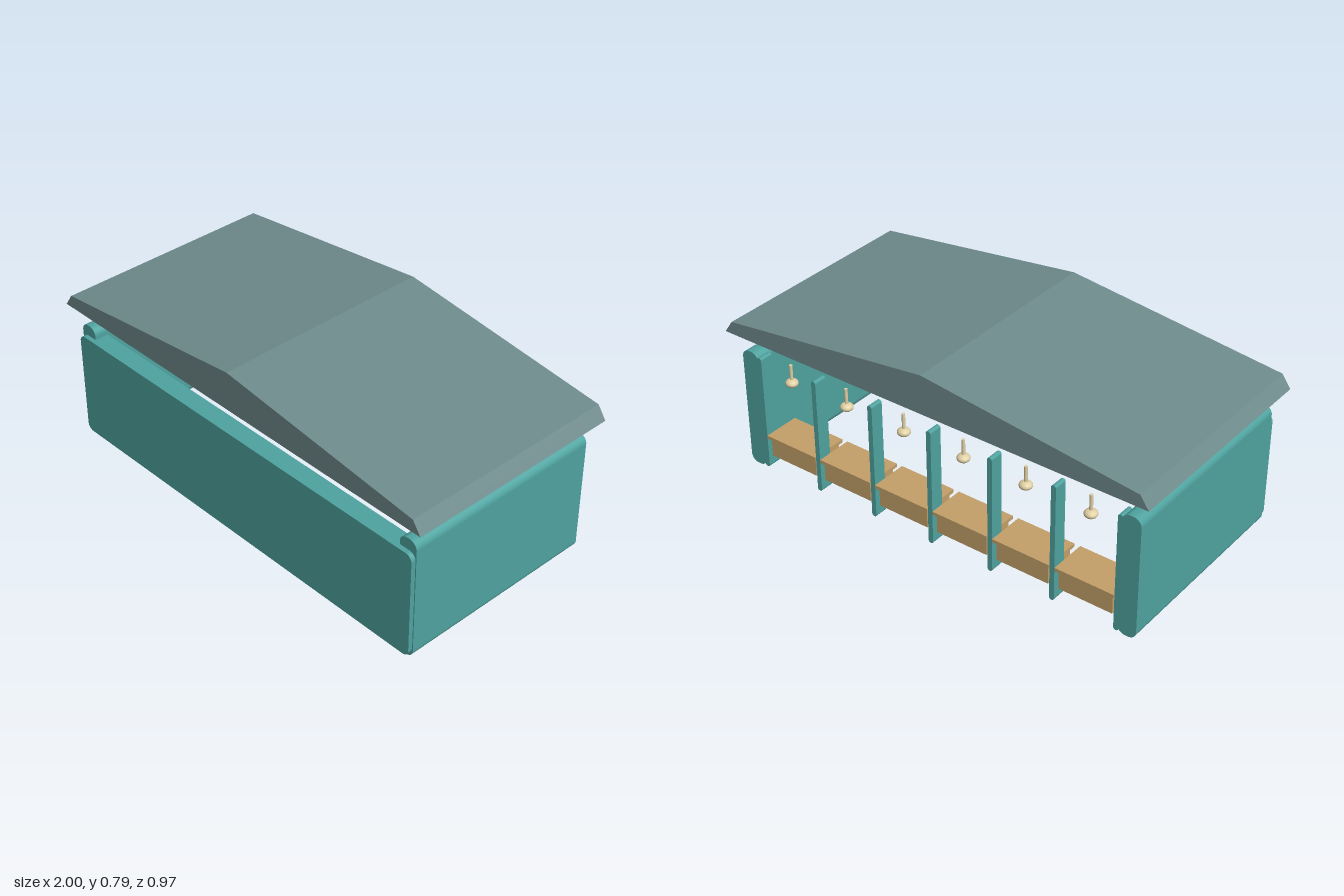
import * as THREE from 'three';

const mat = (color) => new THREE.MeshStandardMaterial({ color });

// Rounded rectangle in the xy plane, extruded from z0 to z1
function roundedSlab(x0, x1, y0, y1, r, z0, z1) {
  const s = new THREE.Shape();
  s.moveTo(x0 + r, y0);
  s.lineTo(x1 - r, y0);
  s.absarc(x1 - r, y0 + r, r, -Math.PI / 2, 0);
  s.lineTo(x1, y1 - r);
  s.absarc(x1 - r, y1 - r, r, 0, Math.PI / 2);
  s.lineTo(x0 + r, y1);
  s.absarc(x0 + r, y1 - r, r, Math.PI / 2, Math.PI);
  s.lineTo(x0, y0 + r);
  s.absarc(x0 + r, y0 + r, r, Math.PI, Math.PI * 1.5);
  const g = new THREE.ExtrudeGeometry(s, { depth: z1 - z0, bevelEnabled: false, curveSegments: 8 });
  return g.translate(0, 0, z0);
}

export function createModel() {
  const model = new THREE.Group();
  model.name = 'pavilion';
  const teal = mat(0x4fa3a0);
  const slate = mat(0x6f8b8c);
  const wood = mat(0xc4a06a);
  const cream = mat(0xe0d0a4);

  const add = (parent, name, geometry, material, x = 0, y = 0, z = 0) => {
    const m = new THREE.Mesh(geometry, material);
    m.name = name;
    m.position.set(x, y, z);
    parent.add(m);
    return m;
  };

  // Shallow gabled roof with a flat underside and bevelled eaves
  const roof = new THREE.Shape([
    [-1, 0.62], [1, 0.62], [0.962, 0.675], [0, 0.79], [-0.962, 0.675],
  ].map(([x, y]) => new THREE.Vector2(x, y)));
  const roofGeo = new THREE.ExtrudeGeometry(roof, { depth: 0.972, bevelEnabled: false });
  add(model, 'roof', roofGeo.translate(0, 0, -0.486), slate);

  // Side walls and front panel
  add(model, 'leftWall', roundedSlab(0.87, 0.952, 0, 0.54, 0.035, -0.45, 0.45), teal);
  add(model, 'rightWall', roundedSlab(-0.952, -0.87, 0, 0.54, 0.035, -0.45, 0.45), teal);
  add(model, 'frontPanel', roundedSlab(-0.948, 0.948, 0.015, 0.49, 0.03, 0.39, 0.47), teal);

  // Slim posts along the open back
  const bay = 0.288;
  const postGeo = roundedSlab(-0.011, 0.011, 0.004, 0.525, 0.01, -0.45, -0.39);
  for (let i = -3; i <= 3; i++) add(model, 'post', postGeo, teal, i * bay);

  // One lidded box and one hanging lamp in each bay
  const boxGeo = new THREE.BoxGeometry(0.24, 0.085, 0.14);
  const lidGeo = new THREE.BoxGeometry(0.262, 0.015, 0.165);
  const stemGeo = new THREE.CylinderGeometry(0.007, 0.007, 0.08, 12);
  const bulbGeo = new THREE.SphereGeometry(0.027, 20, 12).scale(1, 0.65, 1);
  for (let i = 0; i < 6; i++) {
    const x = (i - 2.5) * bay;
    const counter = new THREE.Group();
    counter.name = 'counter';
    add(counter, 'counterBox', boxGeo, wood, x, 0.104, -0.37);
    add(counter, 'counterLid', lidGeo, wood, x, 0.154, -0.37);
    const lamp = new THREE.Group();
    lamp.name = 'lamp';
    add(lamp, 'lampStem', stemGeo, cream, x, 0.493, -0.42);
    add(lamp, 'lampBulb', bulbGeo, cream, x, 0.45, -0.42);
    model.add(counter, lamp);
  }
  return model;
}
